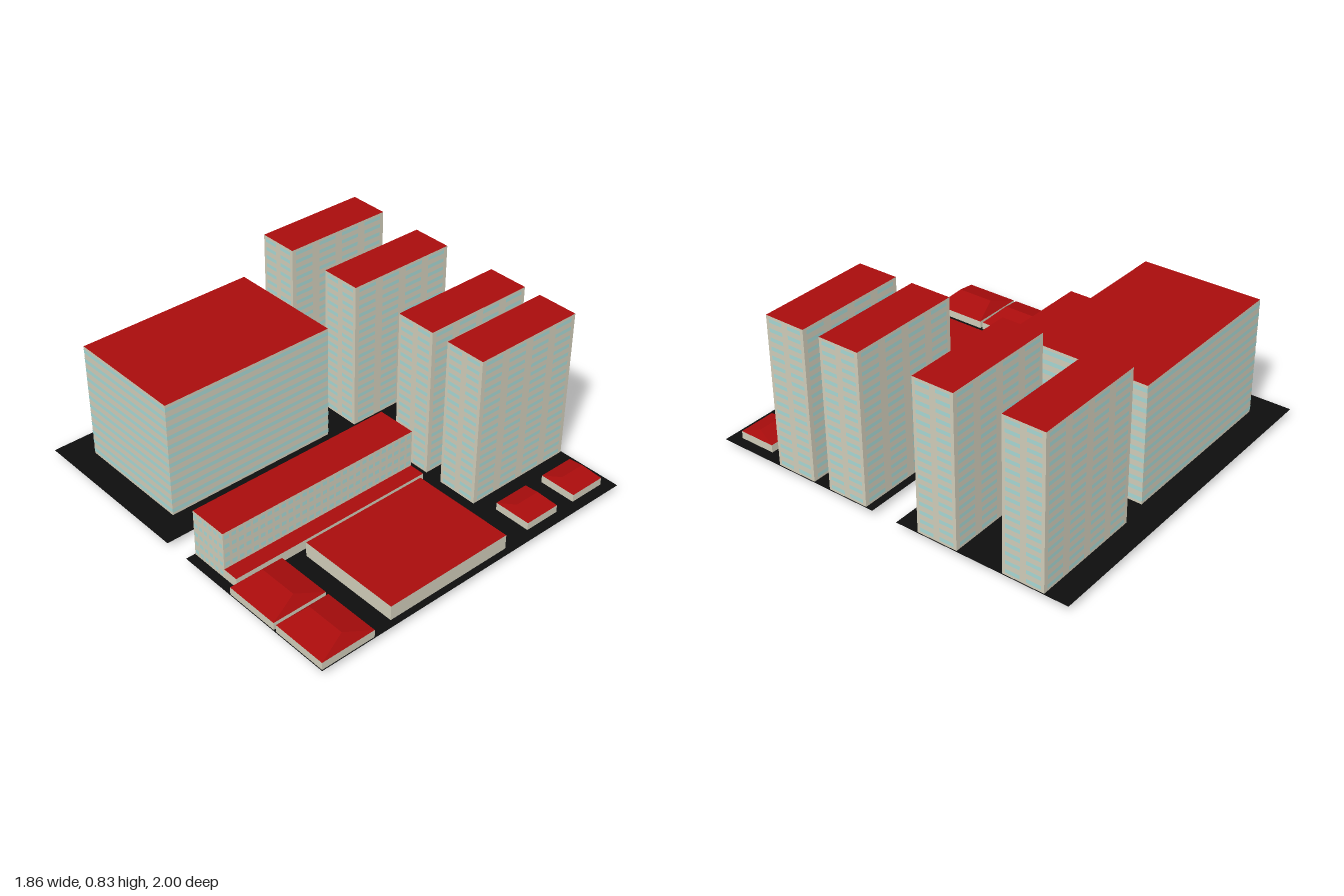
import * as THREE from 'three';
import { mergeGeometries } from 'three/addons/utils/BufferGeometryUtils.js';

const mat = (color) => new THREE.MeshStandardMaterial({ color, side: THREE.DoubleSide, flatShading: true });
const wallMat = mat(0xcfcbb8), glassMat = mat(0xa6d6d2), roofMat = mat(0xa80c0c), groundMat = mat(0x0d0d0d);
const GROUND = 0.032;

function add(parent, name, geometry, material) {
  const mesh = new THREE.Mesh(geometry, material);
  mesh.name = name;
  parent.add(mesh);
  return mesh;
}

// Horizontal sheet over a rectangle
function sheet(x0, x1, z0, z1, y) {
  return new THREE.PlaneGeometry(x1 - x0, z1 - z0).rotateX(-Math.PI / 2).translate((x0 + x1) / 2, y, (z0 + z1) / 2);
}

// Four walls without floor or ceiling
function walls(x0, x1, z0, z1, y0, y1) {
  return new THREE.CylinderGeometry(Math.SQRT1_2, Math.SQRT1_2, 1, 4, 1, true)
    .rotateY(Math.PI / 4)
    .scale(x1 - x0, y1 - y0, z1 - z0)
    .translate((x0 + x1) / 2, (y0 + y1) / 2, (z0 + z1) / 2);
}

// Rows of window bands on all four sides; nx and nz are the groups along each side
function windows(x0, x1, z0, z1, y0, y1, rows, nx, nz, fill) {
  const parts = [], cx = (x0 + x1) / 2, cz = (z0 + z1) / 2, pitch = (y1 - y0) / rows;
  for (let side = 0; side < 4; side++) {
    const alongX = side % 2 === 0;
    const width = alongX ? x1 - x0 : z1 - z0;
    const depth = (alongX ? z1 - z0 : x1 - x0) / 2 + 0.001;
    const n = alongX ? nx : nz;
    for (let r = 0; r < rows; r++) {
      for (let i = 0; i < n; i++) {
        parts.push(new THREE.PlaneGeometry((width / n) * fill, pitch * 0.42)
          .translate(((i + 0.5) / n - 0.5) * width, y0 + (r + 0.5) * pitch, depth)
          .rotateY((side * Math.PI) / 2)
          .translate(cx, 0, cz));
      }
    }
  }
  return mergeGeometries(parts);
}

function block(parent, name, [x0, x1, z0, z1], y0, y1, win) {
  const group = new THREE.Group();
  group.name = name;
  add(group, name + 'Walls', walls(x0, x1, z0, z1, y0, y1), wallMat);
  add(group, name + 'Roof', sheet(x0, x1, z0, z1, y1), roofMat);
  if (win) add(group, name + 'Windows', windows(x0, x1, z0, z1, Math.max(y0, GROUND), y1, ...win), glassMat);
  parent.add(group);
}

// Small house with a hipped roof; ridgeX and ridgeZ are the ridge's share of each side
function house(parent, name, [x0, x1, z0, z1], top, ridgeX, ridgeZ) {
  const eave = 0.072, group = new THREE.Group();
  group.name = name;
  add(group, name + 'Walls', walls(x0, x1, z0, z1, GROUND, eave), wallMat);
  const roof = new THREE.BoxGeometry(x1 - x0, top - eave, z1 - z0);
  const p = roof.attributes.position;
  for (let i = 0; i < p.count; i++) {
    if (p.getY(i) > 0) p.setXYZ(i, p.getX(i) * ridgeX, p.getY(i), p.getZ(i) * ridgeZ);
  }
  roof.computeVertexNormals();
  roof.translate((x0 + x1) / 2, (top + eave) / 2, (z0 + z1) / 2);
  add(group, name + 'Roof', roof, roofMat);
  parent.add(group);
}

export function createModel() {
  const model = new THREE.Group();
  model.name = 'cityBlocks';

  // Two ground plates with a street between them
  add(model, 'backGround', sheet(-0.93, 0.93, -1, -0.07, GROUND), groundMat);
  add(model, 'frontGround', sheet(-0.93, 0.93, 0.07, 1, GROUND), groundMat);

  // Four towers on the left side
  for (const [z0, z1] of [[-0.873, -0.655], [-0.408, -0.19], [0.11, 0.33], [0.425, 0.645]]) {
    block(model, 'tower', [0.317, 0.925, z0, z1], GROUND, 0.83, [17, 4, 2, 0.7]);
  }

  // Large office block at the back, its walls reaching below the plate
  block(model, 'officeBlock', [-0.792, 0.165, -0.852, -0.215], 0, 0.655, [12, 1, 1, 1]);

  // Long building: low base with a taller rear part
  block(model, 'longBuilding', [-0.88, 0.252, 0.074, 0.287], GROUND, 0.285, [5, 28, 6, 0.65]);
  add(model, 'longBuildingBase', walls(-0.88, 0.252, 0.074, 0.371, 0, 0.083), wallMat);
  add(model, 'longBuildingLowRoof', sheet(-0.88, 0.252, 0.287, 0.371, 0.083), roofMat);

  // Flat hall
  block(model, 'hall', [-0.512, 0.196, 0.41, 0.965], GROUND, 0.11);

  // Hipped houses: two large with the ridge along z, two small with it along x
  for (const z of [0.385, 0.698]) house(model, 'largeHouse', [-0.926, -0.632, z, z + 0.297], 0.12, 0, 0.7);
  for (const x of [0.366, 0.677]) house(model, 'smallHouse', [x, x + 0.197, 0.745, 0.943], 0.106, 0.72, 0);

  return model;
}
